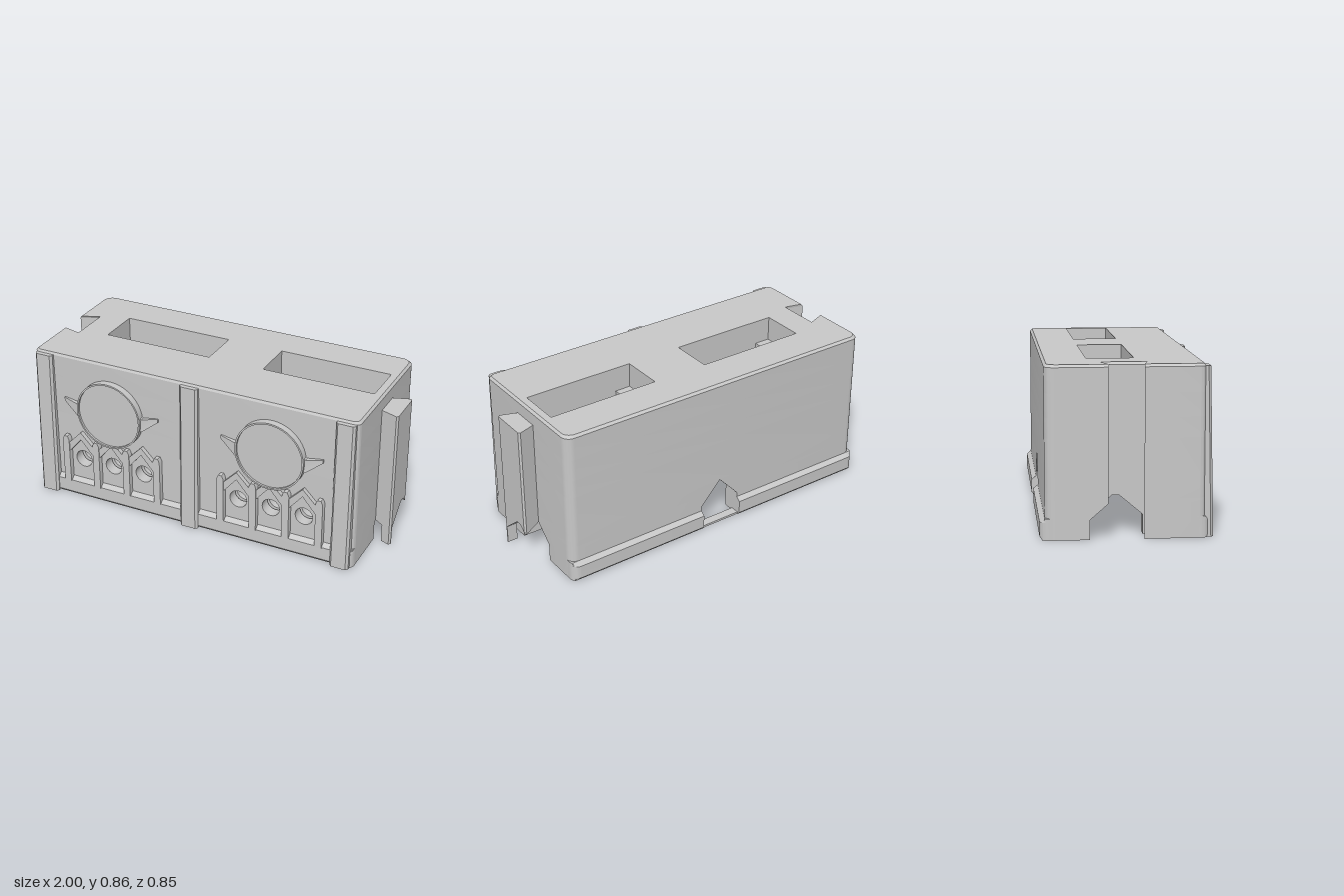
import * as THREE from 'three';
import { toCreasedNormals } from 'three/addons/utils/BufferGeometryUtils.js';

const clamp = THREE.MathUtils.clamp;
const L = -1, R = 0.9, F = 0.385, B = -0.4;        // outer faces of the block
const CL = -0.82, CR = 0.72, CB = -0.3, CF = 0.235; // inner faces of the hollow
const CEIL = 0.5;

export function createModel() {
  const group = new THREE.Group();
  const stone = new THREE.MeshStandardMaterial({ color: 0xc8c8c8 });
  stone.name = 'grey stone';

  const add = (name, geo) => {
    const mesh = new THREE.Mesh(toCreasedNormals(geo, 0.5), stone);
    mesh.name = name;
    group.add(mesh);
  };
  const vecs = (pts) => pts.map(([x, y]) => new THREE.Vector2(x, y));
  const rect = (x0, x1, y0, y1) => [[x0, y0], [x1, y0], [x1, y1], [x0, y1]];
  const circle = (cx, cy, r, n) => Array.from({ length: n }, (_, i) => {
    const a = (i / n) * Math.PI * 2;
    return [cx + r * Math.cos(a), cy + r * Math.sin(a)];
  });
  // Quarter-round plan corner, swept from a start angle in degrees
  const corner = (cx, cz, start, r) => Array.from({ length: 11 }, (_, i) => {
    const a = THREE.MathUtils.degToRad(start - i * 9);
    return [cx + r * Math.cos(a), cz + r * Math.sin(a)];
  });
  const move = (geo, rule) => {
    const p = geo.attributes.position;
    const v = new THREE.Vector3();
    for (let i = 0; i < p.count; i++) {
      rule(v.fromBufferAttribute(p, i));
      p.setXYZ(i, v.x, v.y, v.z);
    }
    return geo;
  };
  const extrude = (pts, holes, depth) => {
    const s = new THREE.Shape(vecs(pts));
    s.holes = holes.map((h) => new THREE.Path(vecs(h)));
    return new THREE.ExtrudeGeometry(s, { depth, bevelEnabled: false });
  };
  // Plan outline (x, z) raised from y0 to y1
  const slab = (name, pts, holes, y0, y1, rule) => {
    const flip = (ps) => ps.map(([x, z]) => [x, -z]);
    const geo = extrude(flip(pts), holes.map(flip), y1 - y0);
    geo.rotateX(-Math.PI / 2).translate(0, y0, 0);
    add(name, rule ? move(geo, rule) : geo);
  };
  // Front elevation (x, y) pushed from z0 to z1
  const plate = (name, pts, holes, z0, z1) =>
    add(name, extrude(pts, holes, z1 - z0).translate(0, 0, z0));
  // Plan outline that changes with height, closed underneath
  const loft = (name, plan, levels) => {
    const pos = [];
    const rings = levels.map((y) => plan(y).map(([x, z]) => [x, y, z]));
    const n = rings[0].length;
    for (let k = 0; k + 1 < rings.length; k++) {
      for (let i = 0; i < n; i++) {
        const j = (i + 1) % n;
        const [a, b, c, d] = [rings[k][i], rings[k][j], rings[k + 1][j], rings[k + 1][i]];
        pos.push(...a, ...b, ...c, ...a, ...c, ...d);
      }
    }
    const flat = rings[0].map(([x, , z]) => new THREE.Vector2(x, -z));
    for (const [a, b, c] of THREE.ShapeUtils.triangulateShape(flat, [])) {
      pos.push(...rings[0][a], ...rings[0][c], ...rings[0][b]);
    }
    const geo = new THREE.BufferGeometry();
    geo.setAttribute('position', new THREE.Float32BufferAttribute(pos, 3));
    add(name, geo);
  };

  const rb = 0.05, rf = 0.028;
  const FR = corner(R - rf, F - rf, 90, rf), BR = corner(R - rb, B + rb, 0, rb);
  const BL = corner(L + rb, B + rb, -90, rb), FL = corner(L + rf, F - rf, 180, rf);
  const groove = [[L, -0.09], [-0.9, -0.13], [-0.9, 0.11], [L, 0.085]];
  const outline = [...FR, ...BR, ...BL, ...groove, ...FL];

  // Lower walls, split by pointed gateways in both ends and a taller one in the back
  const rise = (y) => clamp((y - 0.1) / 0.1, 0, 1);
  const front = (y) => 0.088 - 0.118 * rise(y);
  const back = (y) => -0.18 + 0.115 * rise(y);
  const gate = (y) => 0.12 * (1 - clamp((y - 0.135) / 0.13, 0, 1));
  const levels = [0, 0.1, 0.135, 0.143, 0.178, 0.2];
  loft('frontLeftWall', (y) => [[CR, F], ...FR, [R, front(y)], [CR, front(y)]], levels);
  loft('backLeftWall', (y) => {
    const b = back(y), x = -0.05 + gate(y);
    return [[R, b], ...BR, [x, B], [x, CB], [CR, CB], [CR, b]];
  }, levels);
  loft('backRightWall', (y) => {
    const b = back(y), x = -0.05 - gate(y);
    return [[x, B], ...BL, [L, Math.min(b, -0.09)], [-0.9, Math.min(b, -0.13)],
      [-0.9, b], [CL, b], [CL, CB], [x, CB]];
  }, levels);
  loft('frontRightWall', (y) => [[CL, front(y)], [-0.9, front(y)], [-0.9, 0.11], [L, 0.085],
    ...FL, [CL, F]], levels);
  loft('leftBand', (y) => {
    const x = -0.05 + gate(y);
    return [[CR, F], ...FR, ...BR, [x, B], [x, CB], [CR, CB]];
  }, [0.2, 0.265]);
  loft('rightBand', (y) => {
    const x = -0.05 - gate(y);
    return [[x, B], ...BL, ...groove, ...FL, [CL, F], [CL, CB], [x, CB]];
  }, [0.2, 0.265]);
  slab('wallBand', [[CR, F], ...FR, ...BR, ...BL, ...groove, ...FL, [CL, F], [CL, CB], [CR, CB]],
    [], 0.265, CEIL);
  slab('backSill', rect(-0.17, 0.07, -0.41, -0.36), [], 0, 0.012);

  // Solid upper block with two stepped pockets
  const bays = [-0.73, 0.22];
  const wells = bays.map((x) => rect(x + 0.09, x + 0.53, -0.18, 0.06));
  const pockets = bays.map((x) => rect(x, x + 0.63, -0.18, 0.06));
  const screws = bays.flatMap((x) => [x + 0.05, x + 0.575].map((sx) => circle(sx, -0.065, 0.018, 16)));
  slab('middleBlock', outline, wells, CEIL, 0.6);
  slab('pocketLedges', outline, [...wells, ...screws], 0.6, 0.72);
  slab('upperBlock', outline, pockets, 0.72, 0.845);
  slab('topEdge', outline, pockets, 0.845, 0.858, (v) => {
    const outer = v.x < -0.75 || v.x > 0.86 || v.z < -0.2 || v.z > 0.07;
    if (v.y > 0.85 && outer) v.set(-0.05 + (v.x + 0.05) * 0.988, v.y, 0.1 + (v.z - 0.1) * 0.975);
  });

  // Pocket housings hanging into the hollow, each floor with a square hole
  bays.forEach((x, i) => {
    const plan = rect(x, Math.min(x + 0.63, CR), -0.2, 0.08);
    const hole = [rect(x + 0.09, x + 0.185, -0.12, -0.01)];
    slab('pocketHousing', plan, [wells[i]], 0.34, CEIL);
    slab('pocketFloor', plan, hole, 0.27, 0.34);
    slab('pocketFloorChamfer', plan, hole, 0.25, 0.27, (v) => {
      if (v.y < 0.26 && v.z > 0.05) v.z -= 0.04;
    });
  });

  // Thick front panel pierced by round windows, with slots open underneath
  const centres = [-0.53, 0.425];
  const bayX = [-0.19, 0, 0.19];
  const windows = centres.flatMap((c) => bayX.map((d) => circle(c + d, 0.235, 0.05, 20)));
  plate('frontPanel', rect(CL, CR, 0, CEIL), windows, 0.32, F);
  plate('innerPanel', rect(CL, CR, 0, CEIL), windows, CF, 0.3);
  plate('slotDivider', rect(-0.16, 0.07, 0, 0.31), [], 0.3, 0.32);
  plate('slotHead', rect(CL, CR, 0.31, CEIL), [], 0.3, 0.32);

  // Base plinth, wrapping round the corners
  const pr = 0.045;
  const plinth = (name, plan, body) => {
    const s = Math.sign(body);
    const limit = (z, m) => s * Math.min(s * z, m);
    slab(name, plan, [], 0, 0.015, (v) => {
      if (v.y < 0.01) v.z = limit(v.z, Math.abs(body) + 0.013);
    });
    slab(name, plan, [], 0.015, 0.088);
    slab(name + 'Slope', plan, [], 0.088, 0.108, (v) => {
      if (v.y > 0.1) v.z = limit(v.z, Math.abs(body));
    });
  };
  plinth('backPlinth', [[-0.17, -0.36], [-0.17, -0.425],
    ...corner(L + pr, -0.425 + pr, -90, pr), [L, -0.36]], B);
  plinth('backPlinth', [[R, -0.36], ...corner(R - pr, -0.425 + pr, 0, pr),
    [0.07, -0.425], [0.07, -0.36]], B);
  plinth('frontPlinth', [[R, 0.345], [L, 0.345], ...corner(L + pr, 0.41 - pr, 180, pr),
    ...corner(R - pr, 0.41 - pr, 90, pr)], F);

  // Leaning pilasters with chamfered edges
  for (const [x0, x1] of [[-0.985, -0.88], [-0.1, 0.005], [0.78, 0.885]]) {
    slab('pilaster', [[x0, 0.35], [x0, 0.415], [x0 + 0.012, 0.428], [x1 - 0.012, 0.428],
      [x1, 0.415], [x1, 0.35]], [], 0, 0.845, (v) => {
      if (v.y > 0.5 && v.z > 0.4) v.z -= 0.018;
    });
  }

  for (const c of centres) {
    // Round medallion with a raised rim and side spikes
    plate('medallion', circle(c, 0.565, 0.188, 48), [], F - 0.01, 0.412);
    plate('medallionRim', circle(c, 0.565, 0.195, 48), [circle(c, 0.565, 0.186, 48)], F - 0.01, 0.424);
    for (const s of [-1, 1]) {
      const spike = [[0.18, 0.51], [0.2, 0.515], [0.29, 0.585], [0.29, 0.605], [0.2, 0.59], [0.18, 0.6]]
        .map(([x, y]) => [c + s * x, y]);
      const geo = extrude(spike, [], 0.035).translate(0, 0, F - 0.01);
      add('medallionSpike', move(geo, (v) => {
        if (v.z > 0.4 && Math.abs(v.x - c) > 0.25) v.z = 0.393;
      }));
    }
    // Arcade of three gabled bays between piers
    for (const d of bayX) {
      plate('gable', [[-0.085, 0.285], [-0.07, 0.285], [0, 0.368], [0.07, 0.285], [0.085, 0.285],
        [0.085, 0.325], [0, 0.412], [-0.085, 0.325]].map(([x, y]) => [c + d + x, y]), [], F - 0.01, 0.41);
    }
    for (const d of [-0.285, -0.095, 0.095, 0.285]) {
      const x = c + d;
      plate('pier', [[x - 0.02, 0.085], [x + 0.02, 0.085], [x + 0.02, 0.35], [x + 0.01, 0.372],
        [x - 0.01, 0.372], [x - 0.02, 0.35]], [], F - 0.01, 0.415);
    }
  }

  // Dovetail tab with chamfered edges on the left end, its foot cut by the gateway
  slab('dovetailTab', [[R, 0.073], [0.99, 0.105], [1, 0.095], [1, -0.1], [0.99, -0.11], [R, -0.08]],
    [], 0.2, 0.78);
  loft('dovetailFrontFoot', (y) => {
    const f = front(y), x = R + Math.max(f - 0.073, 0) * 2.81;
    return [[x, f], [x, Math.max(f, 0.073)], [0.99, 0.105], [1, 0.095], [1, f]];
  }, [0, 0.1, 0.113, 0.2]);
  loft('dovetailBackFoot', (y) => {
    const b = Math.max(back(y), -0.11), x = R + Math.max(-0.08 - b, 0) * 3;
    return [[1, b], [1, Math.min(b, -0.1)], [0.99, -0.11], [x, Math.min(b, -0.08)], [x, b]];
  }, [0.161, 0.17, 0.187, 0.2]);

  return group;
}
